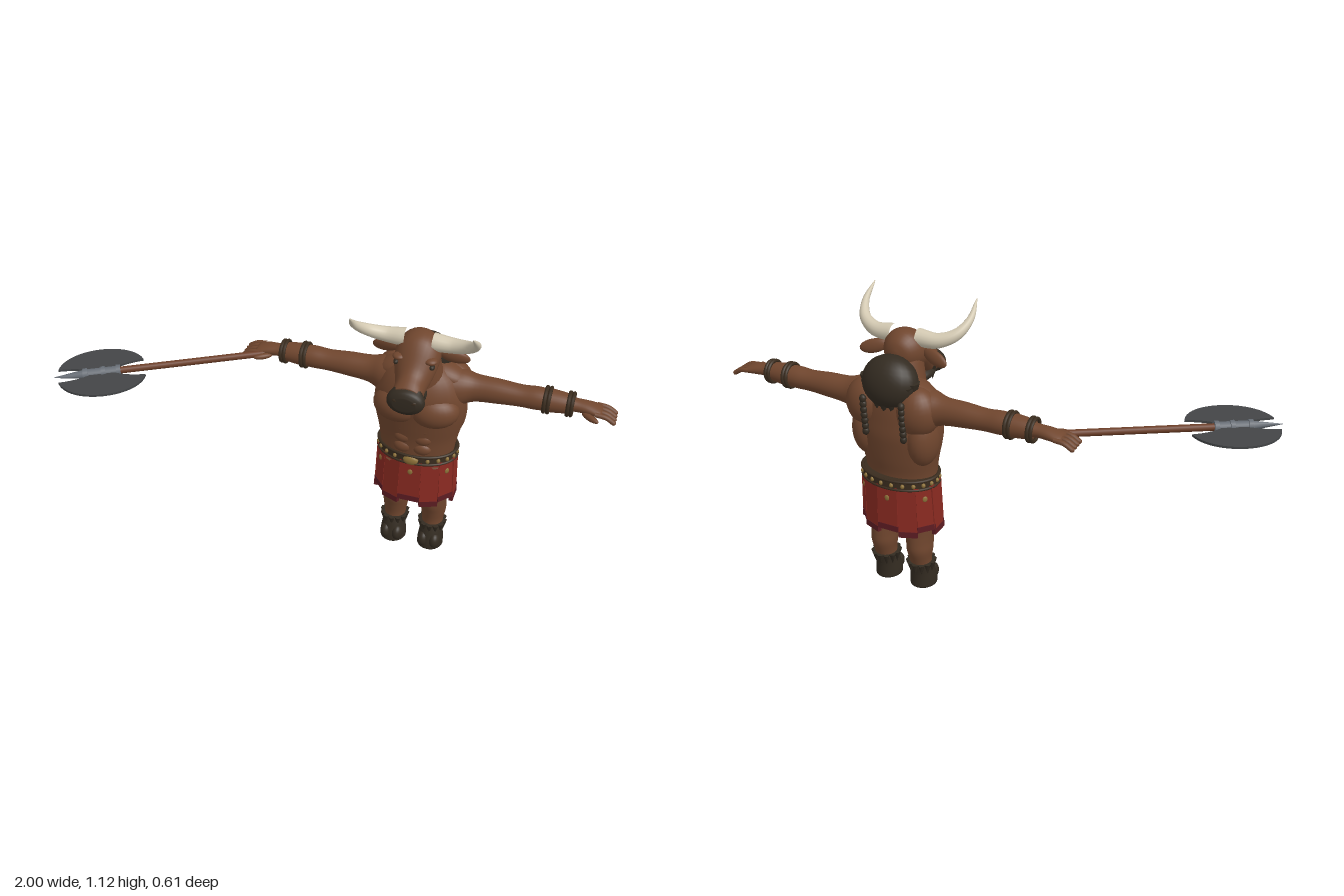
import * as THREE from 'three';

const mat = (name, color, side = THREE.FrontSide) => {
  const m = new THREE.MeshStandardMaterial({ color, side });
  m.name = name;
  return m;
};

// Smooth closed loft along one axis; rows are [w, cu, cv, ru, rv] with w ascending.
// (u, v) is (y, z) for axis x, (z, x) for axis y, (x, y) for axis z.
function loft(axis, rows, sides = 28, steps = 4) {
  const at = (i) => rows[Math.max(0, Math.min(rows.length - 1, i))];
  const rings = [];
  for (let i = 0; i < rows.length - 1; i++) {
    for (let s = 0; s < steps; s++) {
      const t = s / steps;
      rings.push(rows[0].map((_, k) => {
        const [a, b, c, d] = [at(i - 1)[k], at(i)[k], at(i + 1)[k], at(i + 2)[k]];
        return b + 0.5 * t * (c - a + t * (2 * a - 5 * b + 4 * c - d + t * (3 * (b - c) + d - a)));
      }));
    }
  }
  rings.push(at(rows.length));
  const pos = [], idx = [];
  const put = (u, v, w) => pos.push(...(axis === 'x' ? [w, u, v] : axis === 'y' ? [v, w, u] : [u, v, w]));
  for (const [w, cu, cv, ru, rv] of rings) {
    for (let j = 0; j < sides; j++) {
      const a = (j / sides) * Math.PI * 2;
      put(cu + ru * Math.cos(a), cv + rv * Math.sin(a), w);
    }
  }
  const n = rings.length, end = n * sides;
  put(rings[0][1], rings[0][2], rings[0][0]);
  put(rings[n - 1][1], rings[n - 1][2], rings[n - 1][0]);
  for (let j = 0; j < sides; j++) {
    const k = (j + 1) % sides, top = (n - 1) * sides;
    for (let i = 0; i < n - 1; i++) {
      const a = i * sides + j, b = i * sides + k;
      idx.push(a, b, b + sides, a, b + sides, a + sides);
    }
    idx.push(end, k, j, end + 1, top + j, top + k);
  }
  const g = new THREE.BufferGeometry();
  g.setAttribute('position', new THREE.Float32BufferAttribute(pos, 3));
  g.setIndex(idx);
  g.computeVertexNormals();
  return g;
}

export function createModel() {
  const skin = mat('skin', 0x70462e), fur = mat('dark fur', 0x332b21), horn = mat('horn', 0xd3c9b2);
  const red = mat('red cloth', 0x8a2a21, THREE.DoubleSide), hem = mat('dark red hem', 0x5c1c22);
  const leather = mat('leather', 0x3a2c1e), gold = mat('brass', 0x8c7038);
  const steel = mat('steel', 0x666c74), blade = mat('dark blade', 0x434547), wood = mat('wood', 0x6b3d26);

  const model = new THREE.Group();
  const body = new THREE.Group();
  body.name = 'body';
  body.position.x = 0.297;
  model.add(body);

  const add = (parent, name, geo, m, p = [0, 0, 0], r = [0, 0, 0]) => {
    const mesh = new THREE.Mesh(geo, m);
    mesh.name = name;
    mesh.position.set(...p);
    mesh.rotation.set(...r);
    parent.add(mesh);
    return mesh;
  };
  const ball = (parent, name, m, p, s, r) => {
    const seg = Math.max(...s) < 0.02 ? 10 : 24;
    return add(parent, name, new THREE.SphereGeometry(1, seg, seg * 0.7 | 0).scale(...s), m, p, r);
  };

  // Torso, neck and head
  add(body, 'torso', loft('y', [
    [0.44, -0.173, 0, 0.09, 0.14], [0.5, -0.17, 0, 0.092, 0.143], [0.56, -0.173, 0, 0.098, 0.152],
    [0.62, -0.172, 0, 0.106, 0.165], [0.67, -0.17, 0, 0.112, 0.172], [0.72, -0.165, 0, 0.115, 0.17],
    [0.77, -0.165, 0, 0.112, 0.16], [0.82, -0.17, 0, 0.1, 0.135], [0.86, -0.175, 0, 0.08, 0.09],
    [0.89, -0.18, 0, 0.05, 0.05]]), skin);
  add(body, 'neck', loft('y', [[0.78, -0.15, 0, 0.085, 0.1], [0.85, -0.135, 0, 0.075, 0.085],
    [0.93, -0.12, 0, 0.06, 0.07]]), skin);
  add(body, 'head', loft('z', [
    [-0.184, 0, 0.945, 0.01, 0.015], [-0.17, 0, 0.947, 0.048, 0.05], [-0.13, 0, 0.947, 0.076, 0.077],
    [-0.08, 0, 0.938, 0.081, 0.08], [-0.045, 0, 0.91, 0.073, 0.08], [0, 0, 0.866, 0.055, 0.064],
    [0.04, 0, 0.85, 0.056, 0.054], [0.06, 0, 0.842, 0.06, 0.048]]), skin);
  add(body, 'muzzle', loft('z', [[0.038, 0, 0.848, 0.057, 0.053], [0.055, 0, 0.84, 0.068, 0.05],
    [0.075, 0, 0.838, 0.062, 0.044], [0.086, 0, 0.838, 0.04, 0.026]]), fur);
  ball(body, 'beard', fur, [0, 0.817, -0.015], [0.055, 0.028, 0.08], [-0.05, 0, 0]);
  for (let i = -2; i <= 2; i++) {
    add(body, 'beardTuft', new THREE.ConeGeometry(0.018, 0.06, 8), fur,
      [i * 0.02, 0.8 + Math.abs(i) * 0.007, 0.03 - Math.abs(i) * 0.01], [Math.PI, 0, 0]);
  }

  // Mane with hanging locks
  ball(body, 'mane', fur, [0, 0.865, -0.222], [0.108, 0.097, 0.075], [0.3, 0, 0]);
  for (let i = -4; i <= 4; i++) {
    const a = i * 0.3;
    add(body, 'maneLock', new THREE.ConeGeometry(0.03, 0.12, 8), fur,
      [Math.sin(a) * 0.095, 0.805 - 0.02 * Math.cos(a * 2), -0.2 - Math.cos(a) * 0.065], [Math.PI, 0, 0]);
  }

  // Everything mirrored about the body's middle
  for (const side of [1, -1]) {
    const half = new THREE.Group();
    half.name = side > 0 ? 'leftSide' : 'rightSide';
    half.scale.x = side;
    body.add(half);

    ball(half, 'pectoral', skin, [0.072, 0.705, -0.1], [0.09, 0.066, 0.062], [0, 0.2, 0]);
    ball(half, 'shoulderBlade', skin, [0.1, 0.765, -0.215], [0.085, 0.095, 0.072]);
    ball(half, 'lat', skin, [0.112, 0.655, -0.2], [0.06, 0.11, 0.075]);
    ball(half, 'trapezius', skin, [0.09, 0.825, -0.185], [0.09, 0.04, 0.06], [0, 0, -0.35]);
    for (let i = 0; i < 3; i++) {
      ball(half, 'abdominal', skin, [0.036, 0.53 + i * 0.045, -0.09], [0.036, 0.026, 0.02]);
    }

    // Arm, bracer and open hand
    add(half, 'arm', loft('x', [
      [0.09, 0.76, -0.185, 0.09, 0.085], [0.15, 0.772, -0.187, 0.07, 0.066], [0.2, 0.777, -0.19, 0.052, 0.049],
      [0.28, 0.78, -0.19, 0.046, 0.045], [0.36, 0.78, -0.19, 0.04, 0.041], [0.42, 0.782, -0.19, 0.042, 0.043],
      [0.48, 0.783, -0.19, 0.036, 0.038], [0.55, 0.784, -0.19, 0.024, 0.028], [0.6, 0.782, -0.19, 0.021, 0.033],
      [0.64, 0.777, -0.19, 0.015, 0.038], [0.65, 0.775, -0.19, 0.006, 0.03]]), skin);
    add(half, 'bracer', loft('x', [[0.455, 0.783, -0.19, 0.043, 0.045], [0.5, 0.783, -0.19, 0.039, 0.041],
      [0.54, 0.783, -0.19, 0.033, 0.036]]), skin);
    for (const [x, r] of [[0.448, 0.045], [0.462, 0.045], [0.53, 0.041], [0.543, 0.04]]) {
      add(half, 'bracerBand', new THREE.TorusGeometry(r, 0.007, 8, 28), leather, [x, 0.783, -0.19], [0, Math.PI / 2, 0]);
    }
    for (let i = 0; i < 4; i++) {
      const z = -0.223 + i * 0.022;
      const path = new THREE.CatmullRomCurve3([new THREE.Vector3(0.625, 0.78, z),
        new THREE.Vector3(0.665, 0.775, z), new THREE.Vector3(0.692, 0.759, z)]);
      add(half, 'finger', new THREE.TubeGeometry(path, 6, 0.009, 8), skin);
      ball(half, 'fingertip', skin, [0.692, 0.759, z], [0.009, 0.009, 0.009]);
    }
    ball(half, 'thumb', skin, [0.612, 0.77, -0.145], [0.036, 0.011, 0.012], [0, -0.6, 0]);

    // Curved horn, tapered along its path
    const curve = new THREE.CatmullRomCurve3([[0.05, 0.995, -0.1], [0.125, 0.995, -0.098], [0.185, 1.018, -0.07],
      [0.214, 1.06, -0.02], [0.21, 1.118, 0.045]].map((p) => new THREE.Vector3(...p)));
    const hornGeo = new THREE.TubeGeometry(curve, 28, 1, 16);
    const hp = hornGeo.attributes.position, v = new THREE.Vector3();
    for (let i = 0; i < hp.count; i++) {
      const t = Math.floor(i / 17) / 28, c = curve.getPointAt(t);
      v.fromBufferAttribute(hp, i).sub(c).multiplyScalar(0.033 * Math.pow(1 - t, 0.75) + 0.0008).add(c);
      hp.setXYZ(i, v.x, v.y, v.z);
    }
    hornGeo.computeVertexNormals();
    add(half, 'horn', hornGeo, horn);
    ball(half, 'ear', skin, [0.125, 0.938, -0.12], [0.056, 0.026, 0.014], [0.2, 0.2, -0.3]);
    ball(half, 'eye', fur, [0.064, 0.932, -0.036], [0.01, 0.009, 0.014]);
    ball(half, 'brow', skin, [0.056, 0.95, -0.045], [0.024, 0.012, 0.022]);
    ball(half, 'nostril', leather, [0.032, 0.85, 0.079], [0.013, 0.01, 0.008]);

    // Braid
    for (let i = 0; i < 7; i++) {
      ball(half, 'braidKnot', fur, [0.078, 0.81 - i * 0.022, -0.285 + i * 0.001], [0.013, 0.016, 0.013]);
    }

    // Leg, hoof and fur cuff
    add(half, 'leg', loft('y', [
      [0.06, -0.185, 0.078, 0.04, 0.042], [0.12, -0.195, 0.078, 0.045, 0.043], [0.17, -0.198, 0.078, 0.056, 0.05],
      [0.21, -0.192, 0.077, 0.061, 0.051], [0.26, -0.187, 0.076, 0.062, 0.055], [0.33, -0.18, 0.075, 0.07, 0.062],
      [0.45, -0.175, 0.07, 0.085, 0.07]]), skin);
    add(half, 'hoof', loft('y', [[0, -0.178, 0.078, 0.056, 0.052], [0.03, -0.178, 0.078, 0.054, 0.051],
      [0.065, -0.183, 0.078, 0.049, 0.047], [0.1, -0.192, 0.078, 0.045, 0.044]]), fur);
    for (const x of [0.055, 0.101]) {
      ball(half, 'hoofToe', fur, [x, 0.034, -0.148], [0.023, 0.034, 0.03]);
    }
    for (let i = 0; i < 12; i++) {
      const a = (i / 12) * Math.PI * 2;
      add(half, 'cuffTuft', new THREE.ConeGeometry(0.014, 0.046, 6), fur,
        [0.078 + Math.sin(a) * 0.046, 0.088, -0.192 + Math.cos(a) * 0.047], [Math.PI, 0, 0]);
    }
  }

  // Skirt of hanging panels over an inner cloth
  const zc = -0.182;
  const inner = new THREE.CylinderGeometry(1, 1.06, 0.18, 36, 1, true).scale(0.142, 1, 0.095);
  add(body, 'innerSkirt', inner, red, [0, 0.385, zc]);
  for (let i = 0; i < 24; i++) {
    const a = (i / 24) * Math.PI * 2;
    const hanger = new THREE.Group();
    hanger.name = i % 2 ? 'skirtStrap' : 'skirtPanel';
    hanger.position.set(Math.sin(a) * 0.145, 0.47, zc + Math.cos(a) * 0.099);
    hanger.rotation.set(-0.035, Math.atan2(Math.sin(a) / 0.15, Math.cos(a) / 0.1), 0, 'YXZ');
    body.add(hanger);
    if (i % 2) {
      add(hanger, 'strap', new THREE.CylinderGeometry(0.013, 0.004, 0.11, 4).scale(1, 1, 0.5), leather, [0, -0.055, 0]);
    } else {
      const len = i % 4 ? 0.21 : 0.188, w = i === 0 || i === 12 ? 0.084 : 0.07;
      add(hanger, 'panel', new THREE.BoxGeometry(w, len - 0.022, 0.012), red, [0, -(len - 0.022) / 2, 0]);
      add(hanger, 'panelHem', new THREE.BoxGeometry(w + 0.002, 0.024, 0.015), hem, [0, -len + 0.012, 0]);
      if (i % 4 === 0) ball(hanger, 'panelStud', gold, [0, -0.05, 0.006], [0.01, 0.012, 0.004]);
    }
  }

  // Studded belt with buckle
  add(body, 'belt', new THREE.CylinderGeometry(1, 1, 0.034, 40).scale(0.153, 1, 0.108), leather, [0, 0.48, zc]);
  for (const y of [0.463, 0.497]) {
    add(body, 'beltEdge', new THREE.TorusGeometry(1, 0.05, 8, 40).rotateX(Math.PI / 2).scale(0.152, 0.1, 0.107), leather, [0, y, zc]);
  }
  for (let i = 0; i < 22; i++) {
    const a = ((i + 0.5) / 22) * Math.PI * 2;
    ball(body, 'beltStud', gold, [Math.sin(a) * 0.153, 0.48, zc + Math.cos(a) * 0.108], [0.008, 0.009, 0.008]);
  }
  ball(body, 'buckle', gold, [0, 0.478, zc + 0.11], [0.028, 0.018, 0.01]);

  // Double-bladed axe lying level in the right hand
  const axe = new THREE.Group();
  axe.name = 'axe';
  axe.position.set(-0.837, 0.772, 0.15);
  axe.rotation.y = Math.PI + 0.5425;
  model.add(axe);
  const rod = (name, r0, r1, x0, x1, m, sides = 16) =>
    add(axe, name, new THREE.CylinderGeometry(r1, r0, x1 - x0, sides), m, [(x0 + x1) / 2, 0, 0], [0, 0, -Math.PI / 2]);
  rod('haft', 0.013, 0.013, -0.655, 0.02, wood);
  rod('socket', 0.018, 0.018, -0.06, 0.07, steel, 10);
  for (const x of [-0.06, -0.005, 0.06]) rod('socketRing', 0.022, 0.022, x - 0.008, x + 0.008, steel);
  rod('spike', 0.017, 0.001, 0.068, 0.174, steel, 8);
  const s = new THREE.Shape();
  s.moveTo(0.157, 0.042);
  s.bezierCurveTo(0.12, 0.187, -0.12, 0.187, -0.157, 0.052);
  s.quadraticCurveTo(-0.08, 0.045, -0.04, 0.012);
  s.lineTo(0.04, 0.012);
  s.quadraticCurveTo(0.08, 0.04, 0.157, 0.042);
  const bladeGeo = new THREE.ExtrudeGeometry(s, { depth: 0.008, bevelEnabled: false, curveSegments: 20 }).translate(0, 0, -0.004);
  for (const turn of [1, -1]) add(axe, 'axeBlade', bladeGeo, blade, [0, 0, 0], [turn * Math.PI / 2, 0, 0]);

  return model;
}
